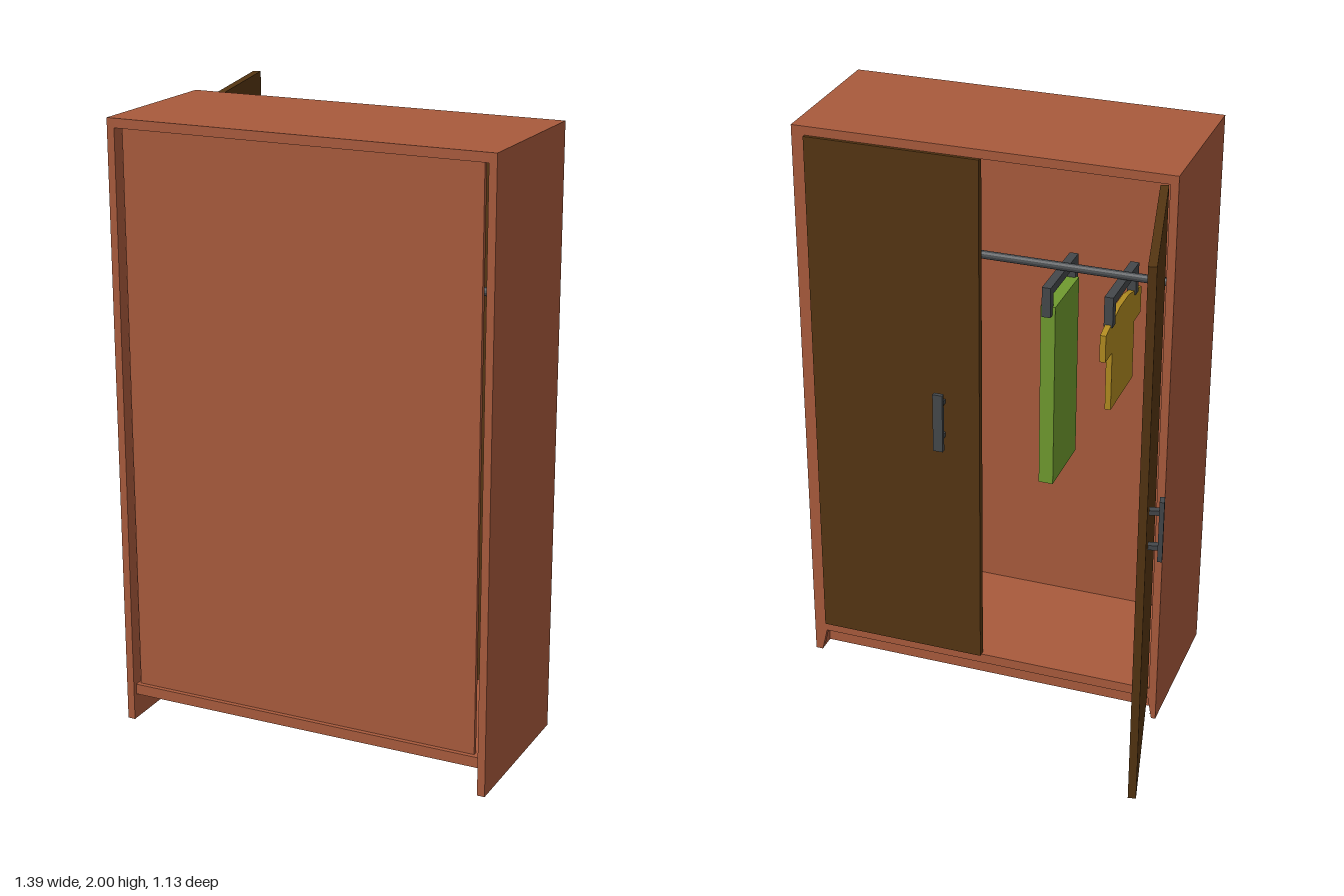
import * as THREE from 'three';

const mat = (color) => new THREE.MeshStandardMaterial({ color, flatShading: true });
const wood = mat(0xa85a3c), doorWood = mat(0x553512), metal = mat(0x44484b);
const green = mat(0x6f9a2f), yellow = mat(0xb08a20);

// Box given by its min and max corners
function box(parent, name, m, [x0, y0, z0], [x1, y1, z1]) {
  const mesh = new THREE.Mesh(new THREE.BoxGeometry(x1 - x0, y1 - y0, z1 - z0), m);
  mesh.position.set((x0 + x1) / 2, (y0 + y1) / 2, (z0 + z1) / 2);
  mesh.name = name;
  parent.add(mesh);
  return mesh;
}

function shapeOf(points) {
  return new THREE.Shape(points.map(([x, y]) => new THREE.Vector2(x, y)));
}

// Door hinged at the origin, reaching along dir * x, with its outside facing -z
function makeDoor(name, dir) {
  const g = new THREE.Group();
  g.name = name;
  const panel = box(g, 'doorPanel', doorWood, [0, 0.12, 0], [0.59, 1.97, 0.026]);
  panel.position.x *= dir;
  const handle = new THREE.Group();
  handle.name = 'doorHandle';
  handle.position.x = dir * 0.46;
  box(handle, 'handleGrip', metal, [-0.017, 0.94, -0.045], [0.017, 1.15, -0.03]);
  for (const y of [0.985, 1.108])
    box(handle, 'handlePost', metal, [-0.011, y - 0.008, -0.032], [0.011, y + 0.008, 0]);
  g.add(handle);
  return g;
}

// Hanger lying across the rail
function makeHanger() {
  const g = new THREE.Group();
  g.name = 'hanger';
  box(g, 'hangerBar', metal, [-0.015, 1.475, -0.145], [0.015, 1.505, 0.145]);
  for (const z of [-0.13, 0.13])
    box(g, 'hangerArm', metal, [-0.015, 1.4, z - 0.015], [0.015, 1.48, z + 0.015]);
  return g;
}

// Flat garment from a half outline [across, height], mirrored
function makeGarment(name, half, thickness, m) {
  const outline = [...half, ...half.map(([a, y]) => [-a, y]).reverse()];
  const geo = new THREE.ExtrudeGeometry(shapeOf(outline), { depth: thickness, bevelEnabled: false });
  geo.translate(0, 0, -thickness / 2).rotateY(Math.PI / 2);
  const mesh = new THREE.Mesh(geo, m);
  mesh.name = name;
  return mesh;
}

export function createModel() {
  const model = new THREE.Group();
  model.name = 'wardrobe';

  // Carcass
  const body = new THREE.Group();
  body.name = 'carcass';
  model.add(body);
  box(body, 'rightSide', wood, [-0.575, 0, 0.04], [-0.55, 2, 0.565]);
  box(body, 'leftSide', wood, [0.67, 0, 0.04], [0.695, 2, 0.565]);
  box(body, 'topBoard', wood, [-0.55, 1.97, 0.04], [0.67, 2, 0.565]);
  box(body, 'bottomBoard', wood, [-0.55, 0.085, 0.04], [0.67, 0.12, 0.55]);
  box(body, 'backPanel', wood, [-0.54, 0.12, 0.52], [0.646, 1.97, 0.535]);
  box(body, 'plinth', wood, [-0.55, 0, 0.085], [0.67, 0.085, 0.1]);

  // Door frame with splayed feet
  const frame = shapeOf([
    [-0.575, 0], [-0.56, 0], [-0.545, 0.085], [0.65, 0.085],
    [0.67, 0], [0.695, 0], [0.695, 2], [-0.575, 2],
  ]);
  frame.holes.push(shapeOf([[-0.548, 0.12], [-0.548, 1.97], [0.65, 1.97], [0.65, 0.12]]));
  const frameMesh = new THREE.Mesh(
    new THREE.ExtrudeGeometry(frame, { depth: 0.02, bevelEnabled: false }), wood);
  frameMesh.name = 'doorFrame';
  frameMesh.position.z = 0.02;
  body.add(frameMesh);

  // One door shut, the other swung wide open
  const shut = makeDoor('closedDoor', -1);
  shut.position.set(0.65, 0, 0.008);
  const open = makeDoor('openDoor', 1);
  open.position.set(-0.546, 0, 0.014);
  open.rotation.y = THREE.MathUtils.degToRad(102.6);
  model.add(shut, open);

  // Hanging rail
  const rail = new THREE.Mesh(new THREE.CylinderGeometry(0.014, 0.014, 1.22, 12), metal);
  rail.name = 'hangingRail';
  rail.rotation.z = Math.PI / 2;
  rail.position.set(0.06, 1.52, 0.29);
  model.add(rail);

  // Clothes on their hangers
  const clothes = [
    [-0.33, makeGarment('shirt', [
      [0.05, 1.43], [0.2, 1.395], [0.2, 1.3], [0.125, 1.3], [0.125, 1.09]], 0.02, yellow)],
    [-0.12, makeGarment('longGarment', [[0.125, 1.43], [0.125, 0.77]], 0.05, green)],
  ];
  for (const [x, garment] of clothes) {
    const set = new THREE.Group();
    set.name = 'hangingClothes';
    set.position.set(x, 0, 0.29);
    set.add(makeHanger(), garment);
    model.add(set);
  }
  return model;
}
